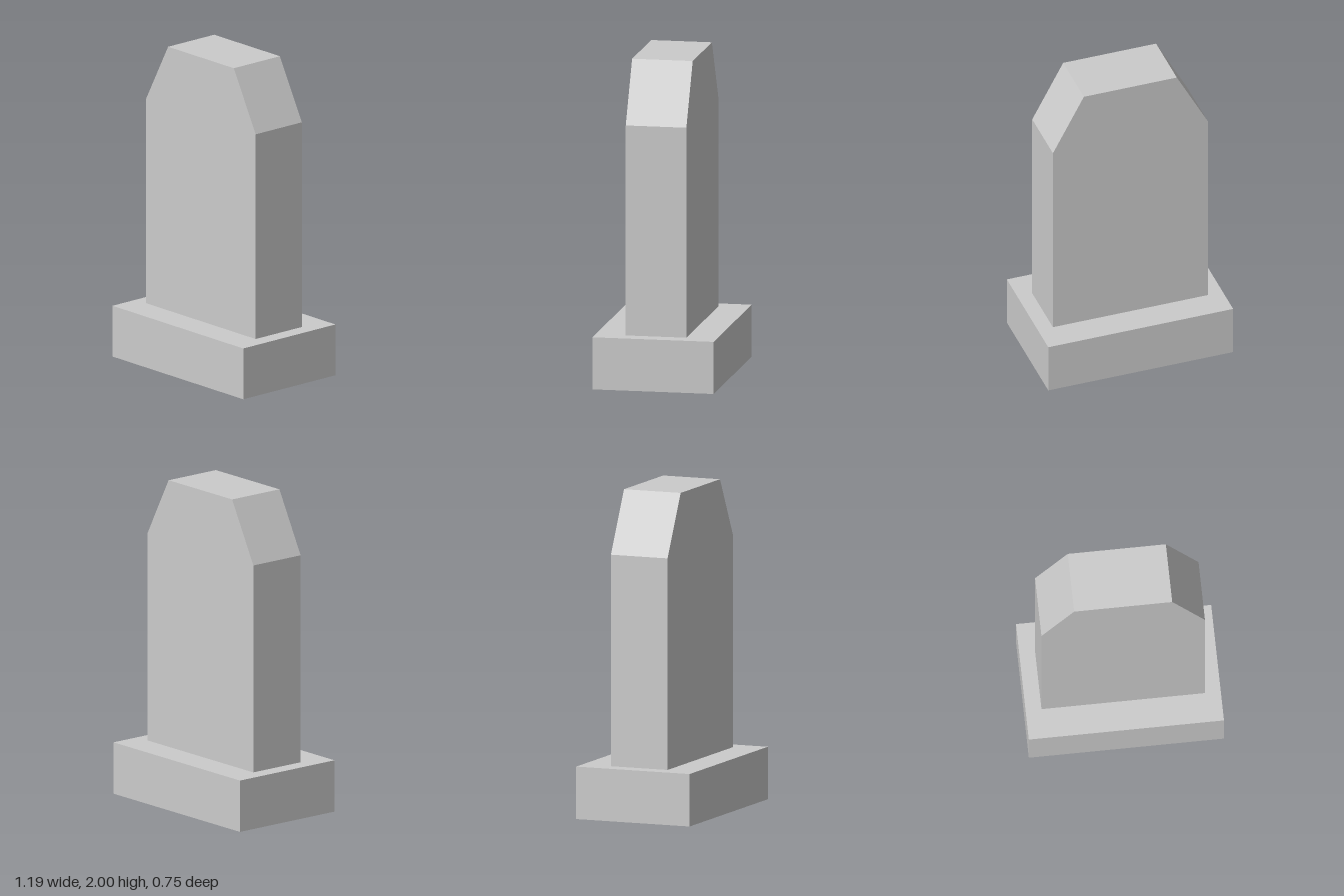
import * as THREE from 'three';

const BASE = { width: 1.194, height: 0.323, depth: 0.752 };
const SLAB = { half: 0.5, topHalf: 0.3, shoulder: 1.625, top: 2, depth: 0.376 };

export function createModel() {
  const model = new THREE.Group();
  model.name = 'headstone';
  const stone = new THREE.MeshStandardMaterial({ color: 0xcccccc, flatShading: true });

  // Rectangular plinth on the ground
  const base = new THREE.Mesh(new THREE.BoxGeometry(BASE.width, BASE.height, BASE.depth), stone);
  base.name = 'base';
  base.position.y = BASE.height / 2;
  model.add(base);

  // Upright slab with chamfered shoulders
  const outline = new THREE.Shape([
    new THREE.Vector2(-SLAB.half, BASE.height),
    new THREE.Vector2(SLAB.half, BASE.height),
    new THREE.Vector2(SLAB.half, SLAB.shoulder),
    new THREE.Vector2(SLAB.topHalf, SLAB.top),
    new THREE.Vector2(-SLAB.topHalf, SLAB.top),
    new THREE.Vector2(-SLAB.half, SLAB.shoulder),
  ]);
  const slabGeometry = new THREE.ExtrudeGeometry(outline, { depth: SLAB.depth, bevelEnabled: false });
  slabGeometry.translate(0, 0, -SLAB.depth / 2);
  const slab = new THREE.Mesh(slabGeometry, stone);
  slab.name = 'slab';
  model.add(slab);

  return model;
}
